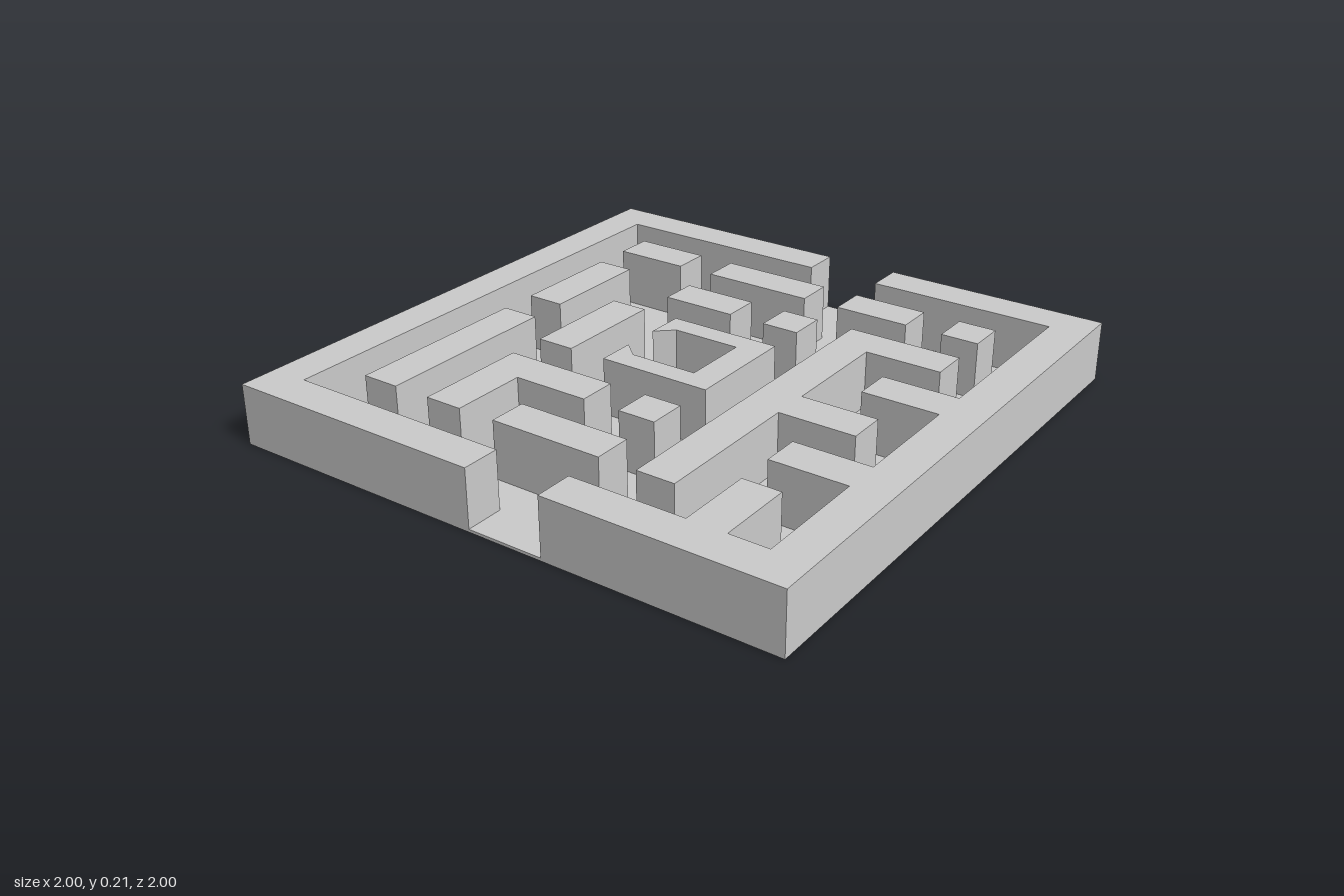
import * as THREE from 'three';

const CELLS = 15;            // the maze lies on a 15 x 15 grid
const CELL = 2 / CELLS;
const FLOOR = 0.01;
const WALL = 0.2;

// Wall outlines in grid units: [column, row] from the back corner at -x
const rect = (c0, r0, c1, r1) => [[c0, r0], [c1, r0], [c1, r1], [c0, r1]];

const OUTLINES = {
  // outer walls, split by the side tunnels
  backOuterWall: [[0, 0], [15, 0], [15, 7], [14, 7], [14, 1], [1, 1], [1, 7], [0, 7]],
  frontOuterWall: [
    [0, 9], [1, 9], [1, 12], [3, 12], [3, 13], [1, 13], [1, 14], [4, 14], [4, 12], [5, 12], [5, 14],
    [8, 14], [8, 12], [9, 12], [9, 14], [14, 14], [14, 9], [15, 9], [15, 15], [0, 15],
  ],
  // islands
  backLongBlock: rect(2, 2, 7, 3),
  backShortBlock: rect(8, 2, 11, 3),
  backCornerBlock: rect(12, 2, 13, 4),
  hookBlock: [[2, 4], [5, 4], [5, 7], [4, 7], [4, 5], [2, 5]],
  middleBackBlock: rect(6, 4, 9, 5),
  innerSideBlock: rect(11, 5, 12, 7).map(([c, r]) => [c - 1, r]),
  outerSideBlock: rect(12, 5, 13, 8),
  tunnelBlock: rect(2, 6, 3, 9),
  smallBlockRight: rect(4, 8, 5, 9),
  smallBlockLeft: rect(10, 8, 11, 9),
  lowerSideBlock: rect(12, 9, 13, 11),
  frontCornerBlock: rect(12, 12, 13, 13),
  combBlock: [
    [2, 10], [11, 10], [11, 13], [10, 13], [10, 11],
    [7, 11], [7, 13], [6, 13], [6, 11], [2, 11],
  ],
  // central pen with a narrowed mouth
  centrePen: [
    [6, 6], [7, 6], [6.6, 6.45], [6.6, 8.25], [8.4, 8.25],
    [8.4, 6.45], [8, 6], [9, 6], [9, 9], [6, 9],
  ],
};

export function createModel() {
  const group = new THREE.Group();
  group.name = 'maze';
  const material = new THREE.MeshStandardMaterial({ color: 0xcccccc, flatShading: true });

  // Thin base plate
  const floor = new THREE.Mesh(new THREE.BoxGeometry(2, FLOOR, 2), material);
  floor.name = 'floor';
  floor.position.y = FLOOR / 2;
  group.add(floor);

  // Walls raised from their outlines
  for (const [name, outline] of Object.entries(OUTLINES)) {
    const points = outline.map(([c, r]) => new THREE.Vector2(c * CELL - 1, 1 - r * CELL));
    const geometry = new THREE.ExtrudeGeometry(new THREE.Shape(points), { depth: WALL, bevelEnabled: false });
    geometry.rotateX(-Math.PI / 2);
    const wall = new THREE.Mesh(geometry, material);
    wall.name = name;
    wall.position.y = FLOOR;
    group.add(wall);
  }
  return group;
}
